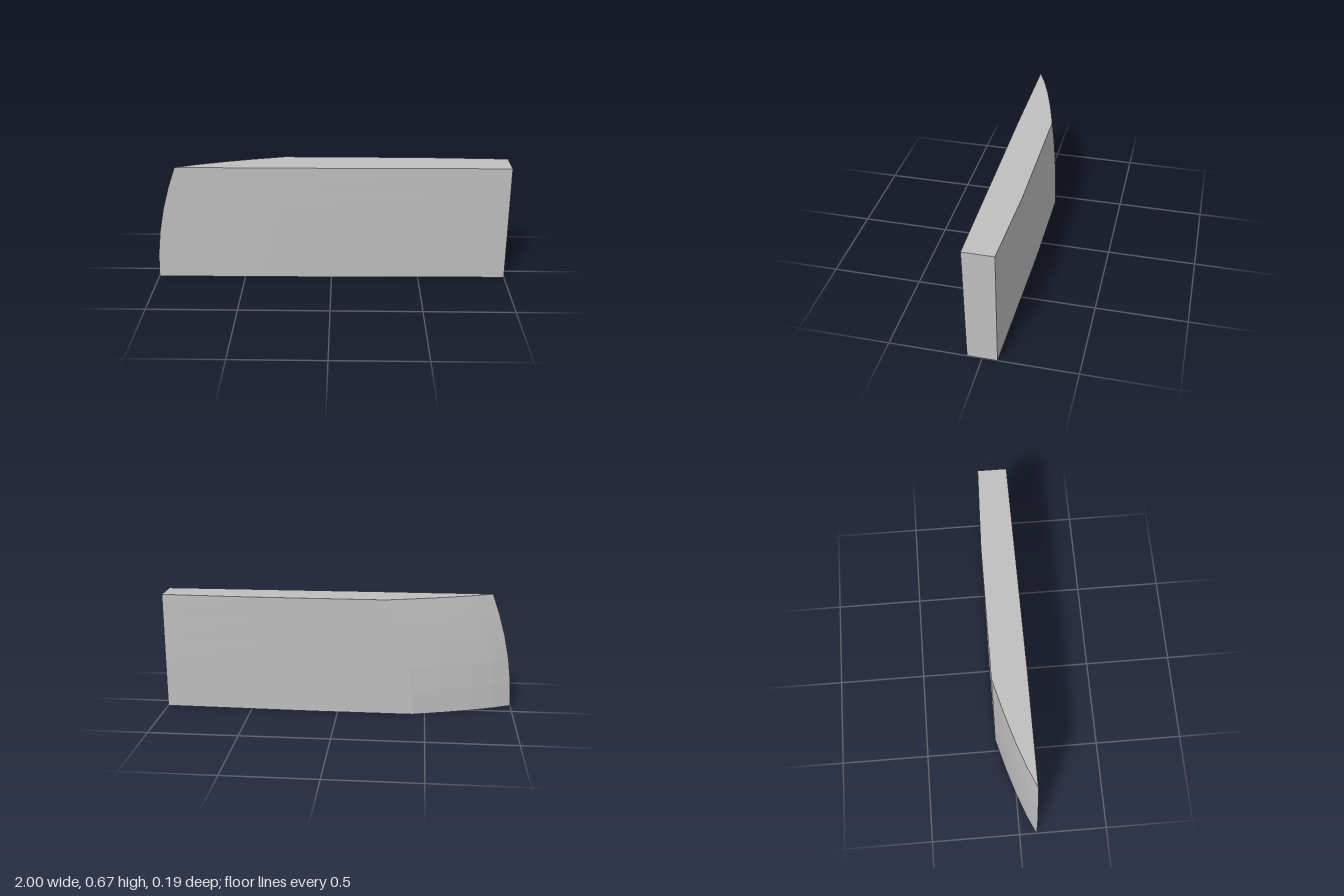
import * as THREE from 'three';

const HEIGHT = 0.67, HALF = 0.097;
const LEVELS = [0, 0.14, 0.28, 0.42, 0.55, HEIGHT];
const TIP_STEPS = 4;

// Horizontal outline at height y, anticlockwise seen from above
function outline(y) {
  const t = y / HEIGHT;
  const frontX = -1 + 0.13 * t * t;
  const backX = -0.43 + 0.16 * t * t;
  const ring = [
    [frontX, HALF],
    [-0.4 + 0.18 * t, HALF],
    [1, 0.08 + 0.006 * t],
    [1, -0.08],
    [0.15 + 0.35 * t, -HALF],
  ];
  // Slanted, slightly bulging end from the back edge to the front edge
  for (let i = 0; i < TIP_STEPS; i++) {
    const s = i / TIP_STEPS;
    const bulge = 0.2 * s * (1 - s);
    ring.push([backX + (frontX - backX) * s - bulge, -HALF + 2 * HALF * s]);
  }
  return ring.map(([x, z]) => new THREE.Vector3(x, y, z));
}

function geometryFrom(points) {
  const geometry = new THREE.BufferGeometry().setFromPoints(points);
  geometry.computeVertexNormals();
  return geometry;
}

// Walls joining the stacked outlines, for sides first..last
function walls(rings, first, last) {
  const points = [];
  for (let k = 0; k < rings.length - 1; k++) {
    for (let i = first; i <= last; i++) {
      const j = (i + 1) % rings[k].length;
      const a = rings[k][i], b = rings[k][j];
      const c = rings[k + 1][j], d = rings[k + 1][i];
      points.push(a, b, c, a, c, d);
    }
  }
  return geometryFrom(points);
}

// Flat cap over one outline
function cap(ring, up) {
  const points = [];
  for (let i = 1; i < ring.length - 1; i++) {
    points.push(ring[0], ...(up ? [ring[i], ring[i + 1]] : [ring[i + 1], ring[i]]));
  }
  return geometryFrom(points);
}

export function createModel() {
  const group = new THREE.Group();
  group.name = 'slantedBlock';
  const grey = new THREE.MeshStandardMaterial({ color: 0xbfbfbf, flatShading: true });
  grey.name = 'grey';

  const rings = LEVELS.map(outline);
  const parts = {
    frontFace: walls(rings, 0, 1),
    squareEnd: walls(rings, 2, 2),
    backFace: walls(rings, 3, 4),
    curvedEnd: walls(rings, 5, 4 + TIP_STEPS),
    topFace: cap(rings[rings.length - 1], true),
    bottomFace: cap(rings[0], false),
  };
  for (const [name, geometry] of Object.entries(parts)) {
    const mesh = new THREE.Mesh(geometry, grey);
    mesh.name = name;
    group.add(mesh);
  }
  return group;
}
